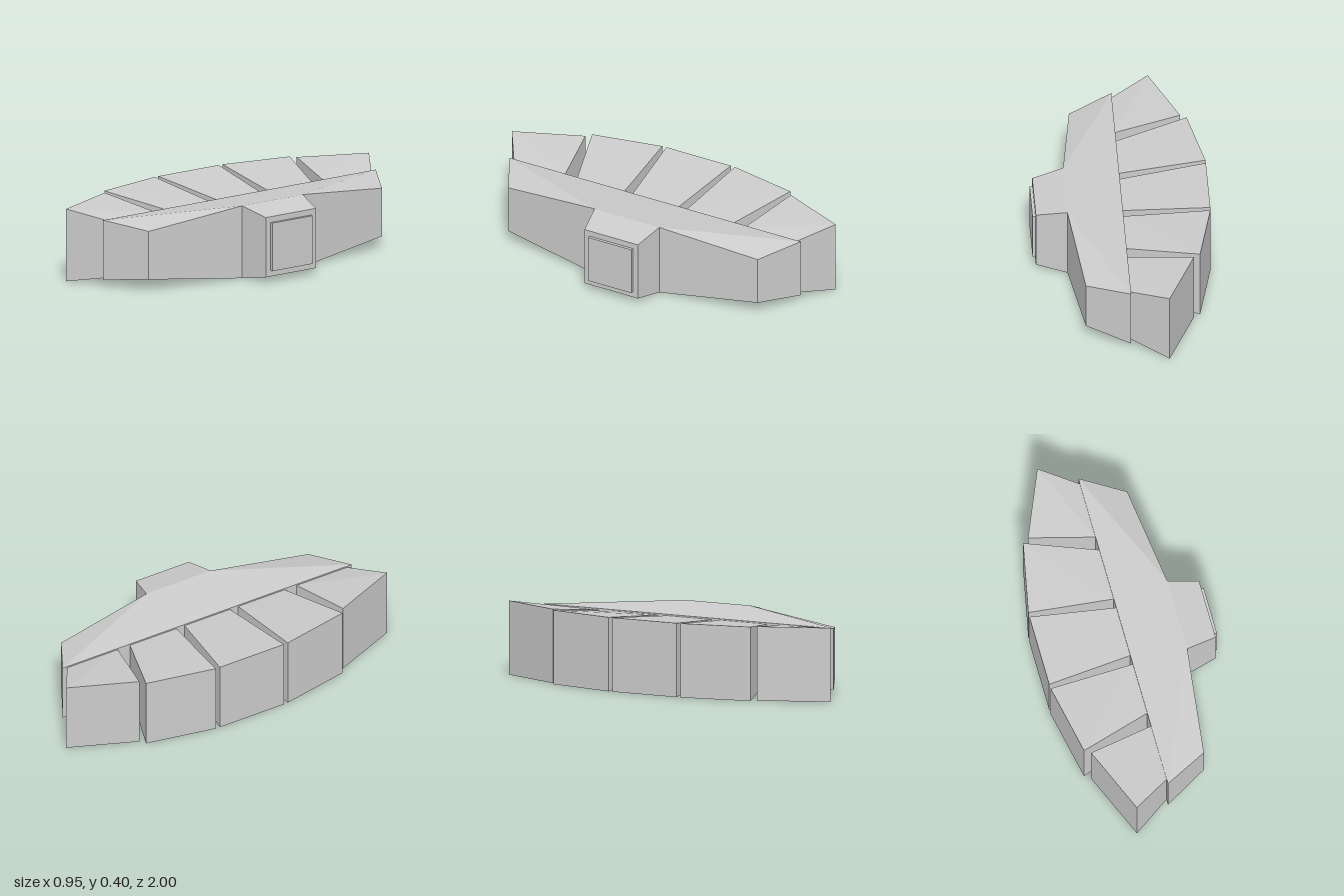
import * as THREE from 'three';
import { ConvexGeometry } from 'three/addons/geometries/ConvexGeometry.js';

const MID = 0.2; // height of the horizontal symmetry plane

// Flat-faced solid from plan corners [x, z, halfHeight], mirrored above and below MID
function slab(name, corners, material) {
  const points = corners.flatMap(([x, z, h]) => [
    new THREE.Vector3(x, MID + h, z),
    new THREE.Vector3(x, MID - h, z),
  ]);
  const mesh = new THREE.Mesh(new ConvexGeometry(points), material);
  mesh.name = name;
  return mesh;
}

export function createModel() {
  const group = new THREE.Group();
  group.name = 'fingeredBlock';
  const material = new THREE.MeshStandardMaterial({ color: 0xcccccc, flatShading: true });

  // Long crossbar, thickest in the middle of its outer face
  const half = [[0.29, 0.2, 0.2], [0.225, 0.77, 0.133], [-0.01, 0.9, 0.165]];
  const mirrored = half.map(([x, z, h]) => [x, -z, h]);
  group.add(slab('crossbar', [...half, ...mirrored], material));

  // Tapered neck and its raised end plate
  group.add(slab('neck', [
    [0.29, 0.2, 0.2], [0.29, -0.2, 0.2],
    [0.457, 0.165, 0.165], [0.457, -0.165, 0.165],
  ], material));
  const plate = new THREE.Mesh(new THREE.BoxGeometry(0.03, 0.266, 0.266), material);
  plate.name = 'endPlate';
  plate.position.set(0.458, MID, 0);
  group.add(plate);

  // Fan of five wedges: inner edge at the crossbar, outer edge at full height
  const inner = 0.157, outer = 0.2, root = -0.008;
  group.add(slab('middleWedge', [
    [root, 0.141, inner], [root, -0.141, inner],
    [-0.475, 0.199, outer], [-0.475, -0.199, outer],
  ], material));
  for (const side of [1, -1]) {
    const end = side > 0 ? 'Front' : 'Back';
    group.add(slab('innerWedge' + end, [
      [root, side * 0.192, inner], [root, side * 0.481, inner],
      [-0.474, side * 0.224, outer], [-0.396, side * 0.612, outer],
    ], material));
    group.add(slab('outerWedge' + end, [
      [root, side * 0.557, inner], [root, side * 0.87, inner],
      [-0.363, side * 0.634, outer], [-0.21, side * 1.0, outer],
    ], material));
  }
  return group;
}
